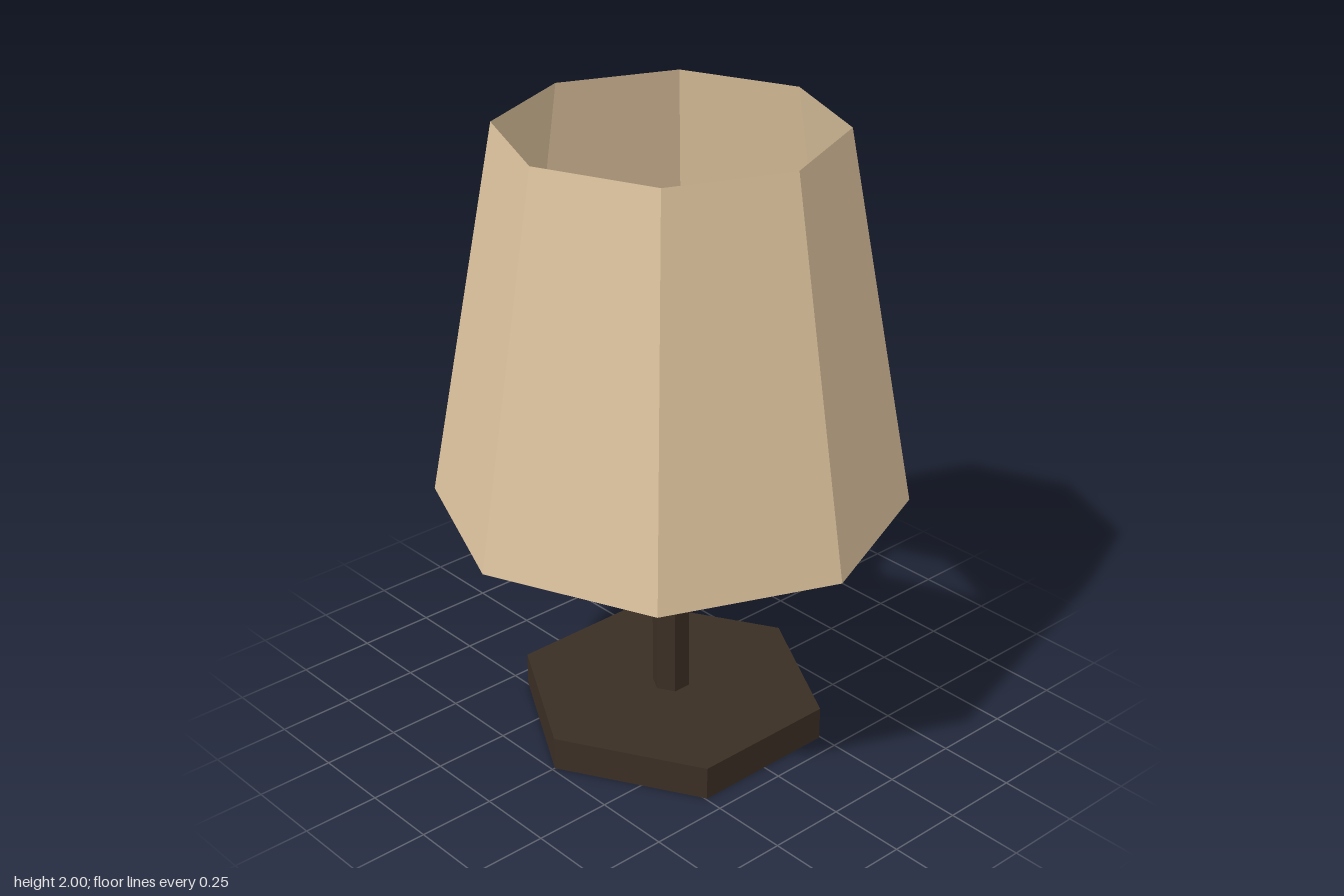
import * as THREE from 'three';

export function createModel() {
  const lamp = new THREE.Group();
  lamp.name = 'tableLamp';

  const darkWood = new THREE.MeshStandardMaterial({ name: 'dark wood', color: 0x3a2e24, flatShading: true });
  const linen = new THREE.MeshStandardMaterial({ name: 'linen', color: 0xdcc29c, flatShading: true });
  const linenShade = new THREE.MeshStandardMaterial({
    name: 'linen shade', color: 0xdcc29c, flatShading: true, side: THREE.DoubleSide,
  });

  const add = (name, geometry, material) => {
    const mesh = new THREE.Mesh(geometry, material);
    mesh.name = name;
    lamp.add(mesh);
    return mesh;
  };

  // Six-sided prism or taper with corners on the x axis, standing from y0 to y1
  const hexPart = (name, topR, bottomR, y0, y1, material, open = false) => {
    const g = new THREE.CylinderGeometry(topR, bottomR, y1 - y0, 6, 1, open);
    g.rotateY(Math.PI / 2).scale(1, 1, 1.03).translate(0, (y0 + y1) / 2, 0);
    return add(name, g, material);
  };

  // Base and stem
  hexPart('base', 0.49, 0.49, 0, 0.11, darkWood);
  hexPart('stem', 0.06, 0.06, 0.11, 0.985, darkWood);

  // Bulb: widens from the stem, then tapers to a flat tip
  hexPart('bulbLower', 0.085, 0.045, 0.985, 1.1, linen, true);
  hexPart('bulbUpper', 0.045, 0.085, 1.1, 1.19, linen);

  // Crossed bars that carry the shade, their ends just piercing it
  for (let i = 0; i < 2; i++) {
    const bar = add('shadeBar' + (i + 1), new THREE.BoxGeometry(1.312, 0.025, 0.06), darkWood);
    bar.position.y = 0.935;
    bar.rotation.y = Math.PI / 8 + (i * Math.PI) / 2;
  }

  // Open eight-sided shade
  const shade = new THREE.CylinderGeometry(0.52, 0.738, 1.2, 8, 1, true);
  add('shade', shade, linenShade).position.y = 1.4;

  return lamp;
}
